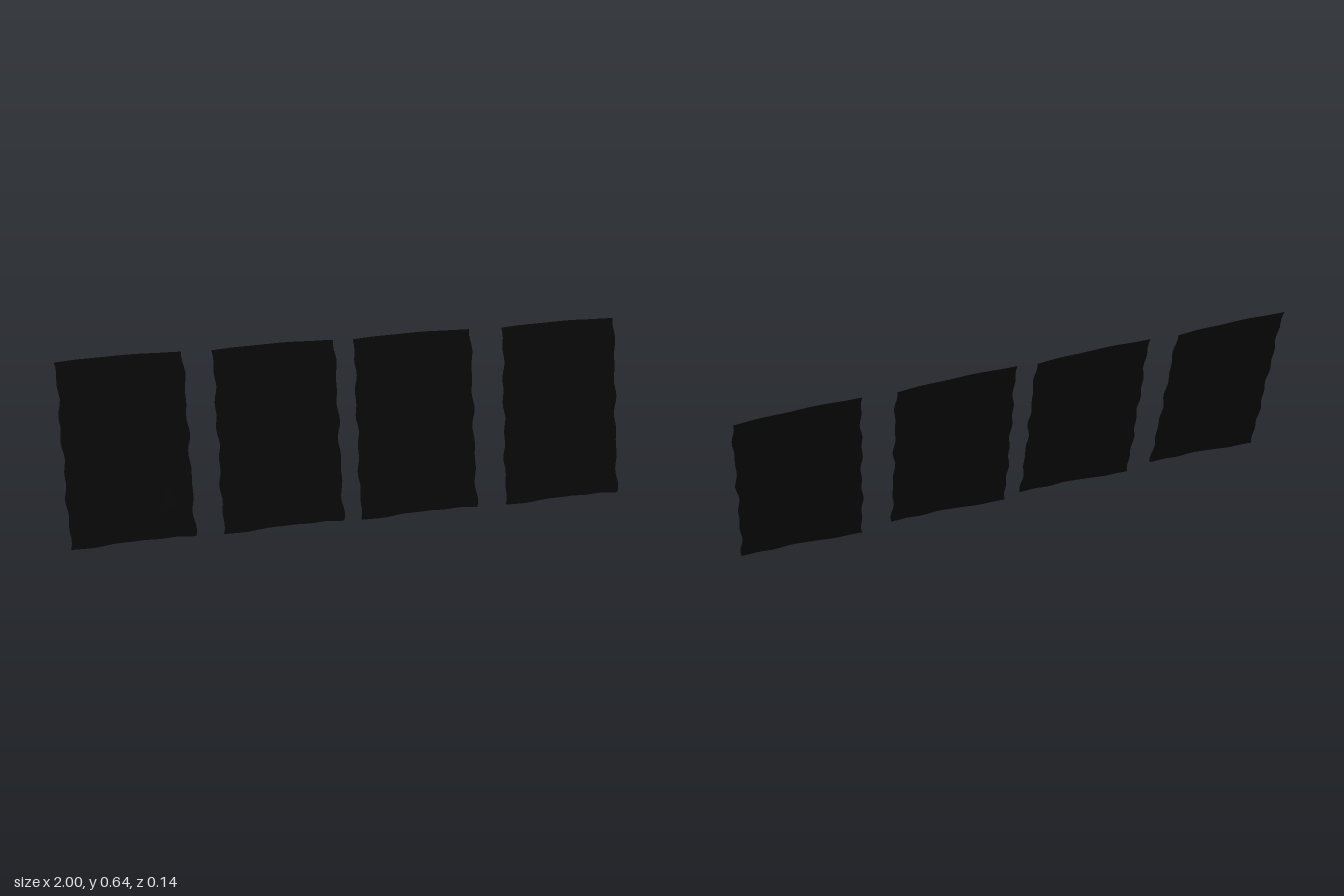
import * as THREE from 'three';

const WIDTH = 0.435, HEIGHT = 0.645, LEAN = 0.066;

// One thin cloth sheet, leaning back, with slight ripples and ragged edges.
function sheetGeometry() {
  const geo = new THREE.PlaneGeometry(1, 1, 24, 36);
  const pos = geo.attributes.position;
  for (let i = 0; i < pos.count; i++) {
    const u = pos.getX(i) + 0.5, v = pos.getY(i) + 0.5;
    // ragged side edges and uneven hems, fading towards the middle
    const left = 0.003 * (Math.sin(v * 17) + Math.sin(v * 41)) * (1 - u);
    const right = 0.003 * (Math.sin(v * 23 + 1) + Math.sin(v * 37)) * u;
    const x = (u - 0.5) * (WIDTH - 0.008) + left + right;
    const hem = (0.011 * THREE.MathUtils.smoothstep(u, 0.15, 0.5) + 0.002 * Math.sin(u * 24) * u) * (1 - v);
    const top = -0.006 * Math.pow(2 * u - 1, 2) * v;
    const y = v * HEIGHT + hem + top;
    // ripples across the width, calmest a little below mid height
    const calm = 1 - 0.65 * Math.exp(-Math.pow((v - 0.4) / 0.13, 2));
    const ripple = 0.006 * calm * (0.8 * (1 - 2 * u) * (2 * v - 0.8 > 0 ? 1 : -1) * Math.min(1, Math.abs(v - 0.4) * 4)
      + 0.25 * Math.sin(u * 14 + v * 9));
    pos.setXYZ(i, x, Math.max(0, y), LEAN * (1 - 2 * v) + ripple);
  }
  geo.computeVertexNormals();
  return geo;
}

export function createModel() {
  const group = new THREE.Group();
  group.name = 'bannerRow';
  const material = new THREE.MeshStandardMaterial({ color: 0x0a0a0a, side: THREE.DoubleSide });
  const geometry = sheetGeometry();
  // four matching sheets, unevenly spaced
  [-0.782, -0.255, 0.238, 0.779].forEach((x, i) => {
    const sheet = new THREE.Mesh(geometry, material);
    sheet.name = `clothSheet${i + 1}`;
    sheet.position.x = x;
    group.add(sheet);
  });
  return group;
}
